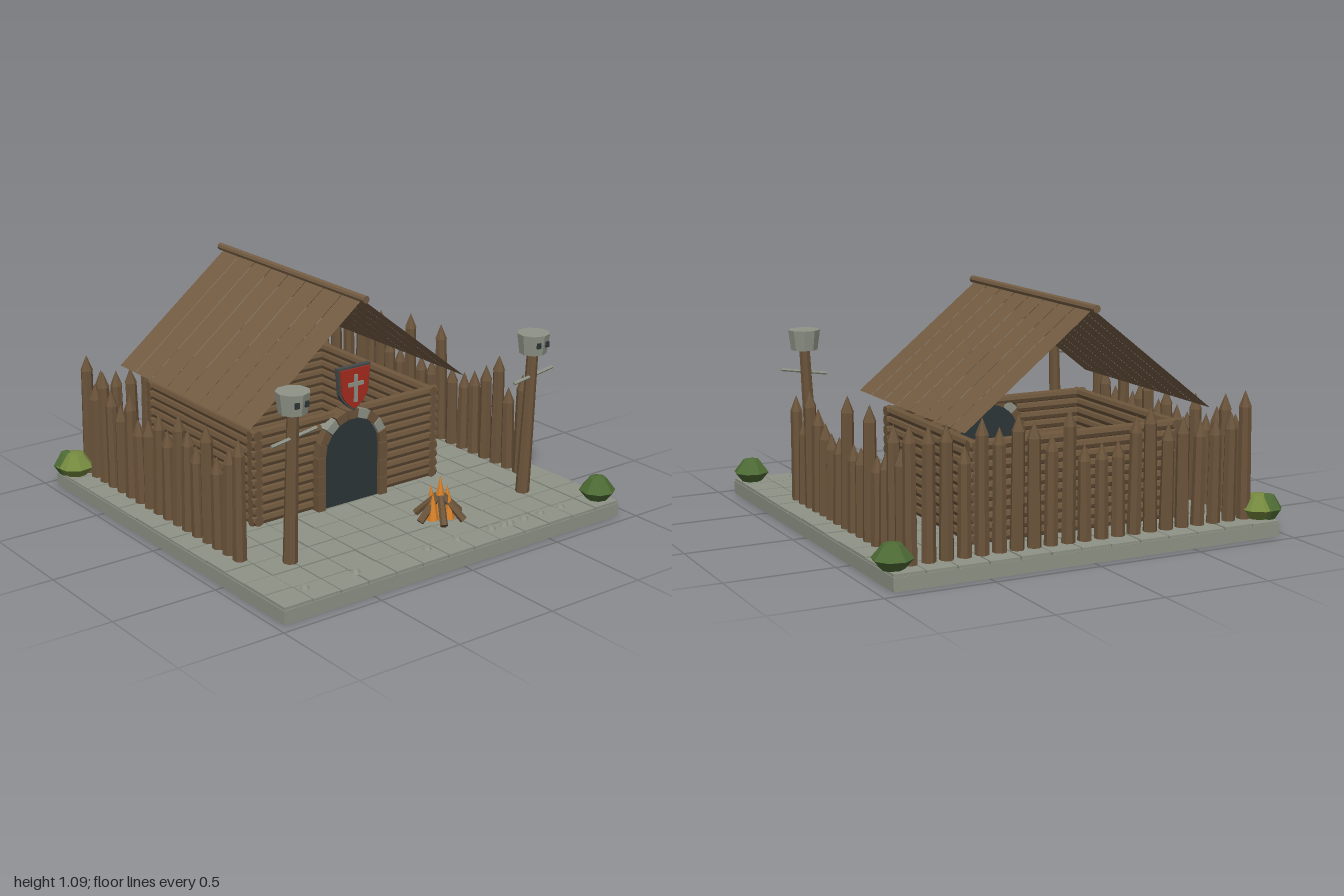
import * as THREE from 'three';

const mat = (name, color, opts = {}) => {
  const m = new THREE.MeshStandardMaterial({ color, flatShading: true, ...opts });
  m.name = name;
  return m;
};

// small seeded generator for irregular heights
function seeded(s) {
  return () => ((s = (s * 16807) % 2147483647) / 2147483647);
}

export function createModel() {
  const stone = mat('stone', 0x8f9386);
  const grout = mat('grout', 0x63665c);
  const wood = mat('log wood', 0x6b543b);
  const plank = mat('plank wood', 0x745d43, { side: THREE.DoubleSide });
  const dark = mat('dark doorway', 0x2c3637);
  const red = mat('shield red', 0xa62c1f);
  const iron = mat('iron', 0x474a48);
  const flame = mat('flame orange', 0xd9822b);
  const leaf = mat('dark leaf', 0x4d6a34);
  const leafLight = mat('light leaf', 0x74893f);

  const root = new THREE.Group();
  root.name = 'palisadeCabin';
  const rand = seeded(77);
  const add = (parent, name, geo, material, x = 0, y = 0, z = 0) => {
    const m = new THREE.Mesh(geo, material);
    m.name = name;
    m.position.set(x, y, z);
    parent.add(m);
    return m;
  };
  const group = (name, x = 0, y = 0, z = 0) => {
    const g = new THREE.Group();
    g.name = name;
    g.position.set(x, y, z);
    root.add(g);
    return g;
  };
  const box = (w, h, d) => new THREE.BoxGeometry(w, h, d);
  // tapered rod running from point a to point b
  const rod = (parent, name, a, b, r0, r1, sides, material) => {
    const A = new THREE.Vector3(...a), B = new THREE.Vector3(...b);
    const d = B.clone().sub(A), mid = A.clone().add(B).multiplyScalar(0.5);
    const m = add(parent, name, new THREE.CylinderGeometry(r1, r0, d.length(), sides), material, mid.x, mid.y, mid.z);
    m.quaternion.setFromUnitVectors(new THREE.Vector3(0, 1, 0), d.normalize());
    return m;
  };

  // paved base
  const S = 1.893, CX = -0.012, N = 13, P = S / N;
  const base = group('base', CX);
  add(base, 'slab', box(S, 0.062, S), stone, 0, 0.031);
  add(base, 'groutBed', box(S - 0.01, 0.004, S - 0.01), grout, 0, 0.063);
  for (let i = 0; i < N; i++) for (let j = 0; j < N; j++) {
    const h = 0.009 + rand() * 0.005;
    add(base, 'pavingTile', box(P - 0.007, h, P - 0.007), stone, (i + 0.5) * P - S / 2, 0.062 + h / 2, (j + 0.5) * P - S / 2);
  }

  // log walls, with an opening in the front one
  const HX = -0.065, y0 = 0.075, rows = 10, pitch = 0.045;
  const house = group('cabin', HX);
  for (let i = 0; i < rows; i++) {
    const y = y0 + pitch * (i + 0.5), r = 0.025;
    const log = (n, a, b) => rod(house, n, a, b, r, r, 8, wood);
    const gap = y < 0.48 ? 0.15 : 0;
    if (gap) for (const s of [-1, 1]) log('frontLog', [s * gap, y, 0.175], [s * 0.53, y, 0.175]);
    else log('frontLog', [-0.53, y, 0.175], [0.53, y, 0.175]);
    log('backLog', [-0.53, y, -0.675], [0.53, y, -0.675]);
    for (const s of [-1, 1]) log('sideLog', [s * 0.5, y, 0.2], [s * 0.5, y, -0.7]);
  }

  // arched doorway
  const AY = 0.335, R = 0.155, RO = 0.198;
  const arch = new THREE.Shape();
  arch.moveTo(-R, y0);
  arch.lineTo(R, y0);
  arch.lineTo(R, AY);
  arch.absarc(0, AY, R, 0, Math.PI);
  arch.lineTo(-R, y0);
  add(house, 'doorway', new THREE.ExtrudeGeometry(arch, { depth: 0.06, bevelEnabled: false, curveSegments: 10 }), dark, 0, 0, 0.155);

  // arch stones and door jambs
  const K = 9;
  for (let i = 0; i < K; i++) {
    const a = (i + 0.04) / K * Math.PI, b = (i + 0.96) / K * Math.PI, s = new THREE.Shape();
    const pt = (r, t) => new THREE.Vector2(r * Math.cos(t), AY + r * Math.sin(t));
    s.setFromPoints([pt(R, a), pt(RO, a), pt(RO, b), pt(R, b)]);
    const grey = i === 1 || i === 3 || i === 6;
    add(house, 'archStone', new THREE.ExtrudeGeometry(s, { depth: 0.08, bevelEnabled: false }), grey ? stone : wood, 0, 0, 0.155);
  }
  for (const s of [-1, 1]) for (let i = 0; i < 3; i++)
    add(house, 'doorJamb', box(RO - R, 0.084, 0.08), wood, s * (R + RO) / 2, y0 + 0.0435 + i * 0.0867, 0.195);

  // shield with a cross over the door
  const shieldGeo = (k, depth) => {
    const s = new THREE.Shape();
    s.moveTo(-0.092 * k, 0.105 * k);
    s.lineTo(0.092 * k, 0.105 * k);
    s.lineTo(0.08 * k, -0.025 * k);
    s.quadraticCurveTo(0.06 * k, -0.07 * k, 0, -0.108 * k);
    s.quadraticCurveTo(-0.06 * k, -0.07 * k, -0.08 * k, -0.025 * k);
    return new THREE.ExtrudeGeometry(s, { depth, bevelEnabled: false, curveSegments: 4 });
  };
  add(house, 'shieldRim', shieldGeo(1, 0.025), iron, 0, 0.637, 0.215);
  add(house, 'shieldFace', shieldGeo(0.9, 0.008), red, 0, 0.637, 0.24);
  add(house, 'crossUpright', box(0.018, 0.13, 0.009), stone, 0, 0.64, 0.252);
  add(house, 'crossBar', box(0.085, 0.017, 0.009), stone, 0, 0.66, 0.252);

  // thin plank roof and ridge pole
  const W = 0.605, rise = 0.477, top = 1.065, slope = Math.hypot(W, rise);
  for (const s of [-1, 1]) for (let i = 0; i < 8; i++) {
    const p = add(house, 'roofPlank', new THREE.PlaneGeometry(slope, 0.134).rotateX(-Math.PI / 2), plank, s * W / 2, top - rise / 2, -0.8 + 0.137 * (i + 0.5));
    p.rotation.z = -s * Math.atan2(rise, W);
  }
  rod(house, 'ridgePole', [0, 1.07, 0.325], [0, 1.07, -0.835], 0.018, 0.018, 8, plank);

  // sharpened palisade posts
  const fence = group('palisade');
  const post = (x, z, h) => {
    const tip = 0.075, g = new THREE.Group();
    g.name = 'palisadePost';
    g.position.set(x, y0, z);
    g.rotation.set((rand() - 0.5) * 0.03, rand() * 3, (rand() - 0.5) * 0.03);
    const body = h - y0 - tip;
    add(g, 'postBody', new THREE.CylinderGeometry(0.028, 0.032, body, 7), wood, 0, body / 2);
    add(g, 'postTip', new THREE.ConeGeometry(0.03, tip, 7), wood, 0, body + tip / 2);
    fence.add(g);
  };
  const back = [.66, .57, .55, .55, .57, .55, .63, .6, .5, .5, .5, .66, .56, .62, .66, .61, .66, .55, .65, .65, .66];
  const right = [.57, .48, .62, .55, .5, .47, .47, .67, .47, .47, .67, .47, .5, .63, .55];
  const left = [.63, .57, .5, .62, .5, .55, .6, .5, .56, .5, .48, .58, .5, .55, .62, .54];
  back.forEach((h, i) => post(-0.835 + i * 0.0823, -0.84, h));
  right.forEach((h, i) => post(0.81, 0.4 - i * 0.083, h));
  left.forEach((h, i) => post(-0.835, 0.445 - i * 0.0807, h));

  // standing posts with stone heads
  for (const [x, lean] of [[-0.655, 0.02], [0.695, 0.035]]) {
    const t = group('guardTotem', x, 0, 0.59);
    rod(t, 'totemPost', [-lean, 0.068, 0], [0, 0.77, 0], 0.033, 0.026, 8, wood);
    add(t, 'stoneHead', new THREE.CylinderGeometry(0.076, 0.063, 0.095, 9), stone, 0, 0.797);
    for (const s of [-1, 1]) add(t, 'eye', box(0.02, 0.026, 0.009), dark, s * 0.025, 0.8, 0.066);
    rod(t, 'totemCrossbar', [-0.118, 0.624, 0.01], [0.115, 0.66, 0.01], 0.008, 0.008, 6, stone);
  }

  // campfire
  const fire = group('campfire', 0.14, 0, 0.61);
  for (let i = 0; i < 6; i++) {
    const a = i * Math.PI / 3, c = Math.cos(a), s = Math.sin(a);
    rod(fire, 'fireLog', [c * 0.115, 0.085, s * 0.115], [c * 0.015, 0.185, s * 0.015], 0.018, 0.016, 6, wood);
  }
  for (const [x, z, h, r] of [[0, 0, 0.2, 0.042], [-0.05, 0.01, 0.13, 0.03], [0.05, -0.01, 0.14, 0.03], [0.02, 0.04, 0.13, 0.028], [-0.02, -0.04, 0.15, 0.028]])
    add(fire, 'flame', new THREE.ConeGeometry(r, h, 6), flame, x, 0.085 + h / 2, z);

  // barrel with iron hoops
  const barrel = group('barrel', 0.575, 0, -0.055);
  const stave = [[0, y0], [0.05, y0], [0.058, 0.135], [0.05, 0.2], [0, 0.2]].map(p => new THREE.Vector2(...p));
  add(barrel, 'barrelBody', new THREE.LatheGeometry(stave, 12), wood);
  for (const y of [0.1, 0.175]) add(barrel, 'barrelHoop', new THREE.CylinderGeometry(0.059, 0.059, 0.012, 12), iron, 0, y);

  // crate beside the cabin, braced front and back
  const crate = group('crate', -0.625, 0.155, -0.16);
  add(crate, 'crateBody', box(0.14, 0.155, 0.165), wood);
  for (const s of [-1, 1]) {
    add(crate, 'crateBrace', box(0.18, 0.022, 0.01), plank, 0, 0, s * 0.084).rotation.z = 0.8;
    for (const t of [-1, 1]) add(crate, 'crateRail', box(0.15, 0.022, 0.012), plank, 0, t * 0.067, s * 0.085);
  }

  // faceted bushes
  const bushProfile = [[0, 0], [0.55, 0], [1, 0.4], [0.45, 0.93], [0, 1]];
  for (const [x, z, r, m] of [[-0.905, -0.855, 0.094, leafLight], [-0.935, -0.885, 0.065, leaf], [0.9, -0.86, 0.091, leaf], [0.875, 0.865, 0.085, leaf]]) {
    const pts = bushProfile.map(([a, b]) => new THREE.Vector2(a * r, b * 0.115));
    add(root, 'bush', new THREE.LatheGeometry(pts, 8), m, x, 0.073, z).rotation.y = x * 2;
  }

  // pebbles along the front edge
  for (const x of [-0.78, -0.515, -0.125, 0.045, 0.245, 0.32, 0.355, 0.44, 0.54, 0.665])
    add(root, 'pebble', new THREE.CylinderGeometry(0.014, 0.026, 0.018, 6), stone, x, 0.081, 0.84);

  return root;
}
